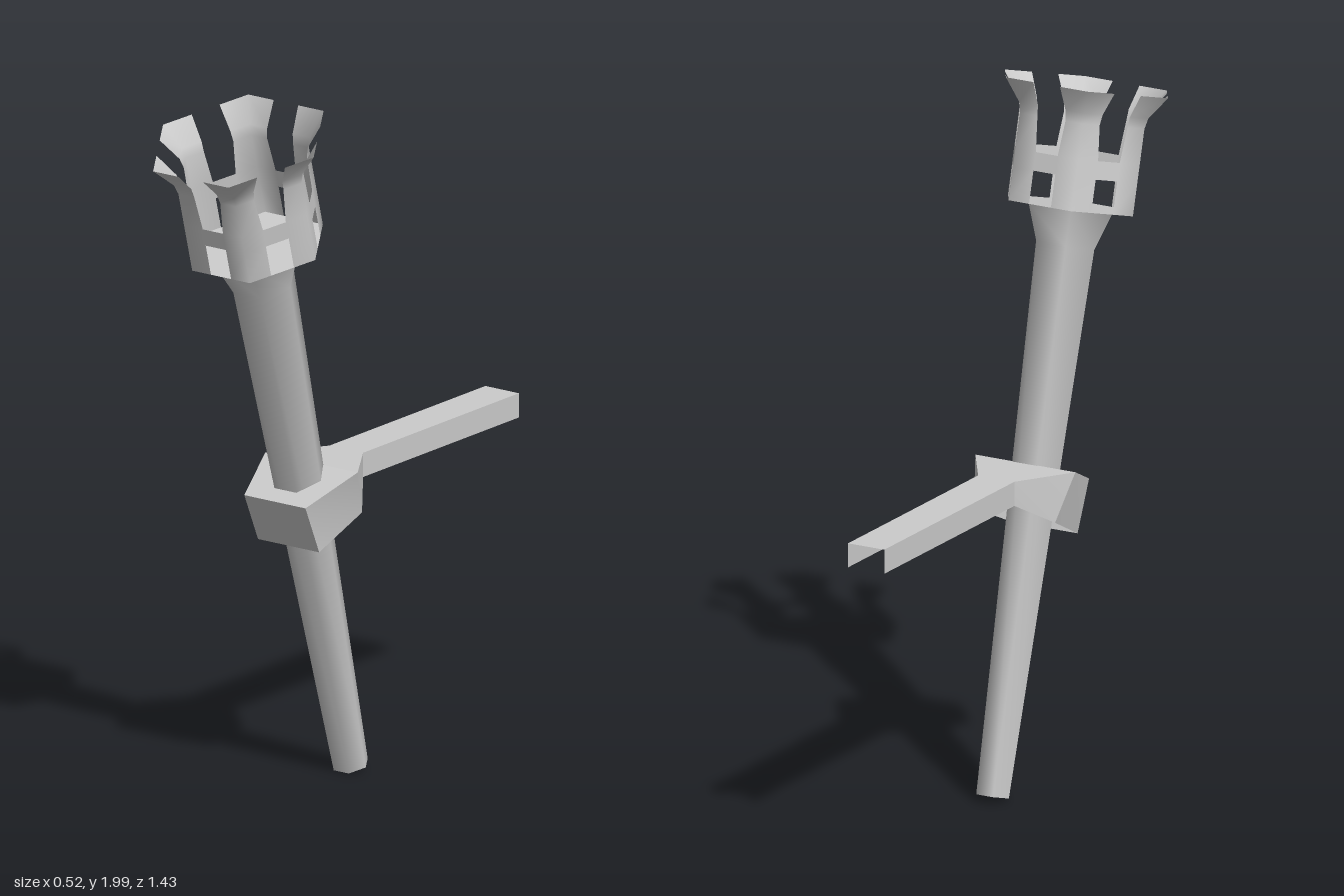
import * as THREE from 'three';
import { toCreasedNormals, mergeGeometries } from 'three/addons/utils/BufferGeometryUtils.js';

const material = new THREE.MeshStandardMaterial({ color: 0xcccccc, side: THREE.DoubleSide });

// Skin a sheet over rows of points, all rows equally long
function sheet(rows) {
  const n = rows[0].length;
  const index = [];
  for (let i = 0; i < rows.length - 1; i++) {
    for (let j = 0; j < n - 1; j++) {
      const a = i * n + j, b = a + 1, c = a + n, d = c + 1;
      index.push(a, b, d, a, d, c);
    }
  }
  const geometry = new THREE.BufferGeometry();
  geometry.setAttribute('position', new THREE.Float32BufferAttribute(rows.flat(2), 3));
  geometry.setIndex(index);
  return geometry;
}

function addMesh(parent, name, geometry, crease) {
  const mesh = new THREE.Mesh(toCreasedNormals(geometry, crease), material);
  mesh.name = name;
  parent.add(mesh);
  return mesh;
}

// Point on the cup wall: distance "along" the face from corner k, towards side -1 or +1
function wallPoint(k, radius, height, along, side) {
  const a = (k * Math.PI) / 3;
  const b = a + (side * 2 * Math.PI) / 3;
  return [
    radius * Math.cos(a) + along * Math.cos(b),
    height,
    -radius * Math.sin(a) - along * Math.sin(b),
  ];
}

function createTorch() {
  const torch = new THREE.Group();
  torch.name = 'torch';

  // Tapered six-sided handle, flaring under the cup
  const profile = [[0, 0], [0.052, 0], [0.093, 1.542], [0.136, 1.652]]
    .map(([r, y]) => new THREE.Vector2(r, y));
  addMesh(torch, 'handle', new THREE.LatheGeometry(profile, 6, Math.PI / 6), 1.1);

  const cup = new THREE.Group();
  cup.name = 'cup';
  cup.position.y = 1.652;
  torch.add(cup);

  const floor = new THREE.CircleGeometry(0.2, 6).rotateX(-Math.PI / 2);
  addMesh(cup, 'cupFloor', floor, 0.5);

  // Prongs folded around each corner: height, corner radius, half width
  const prong = [
    [0, 0.2, 0.065], [0.093, 0.2, 0.065], [0.145, 0.2, 0.065],
    [0.245, 0.2, 0.055], [0.275, 0.208, 0.06], [0.34, 0.261, 0.088],
  ];
  for (let k = 0; k < 6; k++) {
    const rows = prong.map(([h, r, w]) => [
      wallPoint(k, r, h, w, -1), wallPoint(k, r, h, 0, 1), wallPoint(k, r, h, w, 1),
    ]);
    addMesh(cup, 'prong', sheet(rows), 1.1);

    // Band joining this prong to the next
    const band = [0.093, 0.145].map((h) => [
      wallPoint(k, 0.2, h, 0.065, 1), wallPoint(k + 1, 0.2, h, 0.065, -1),
    ]);
    addMesh(cup, 'band', sheet(band), 0.5);
  }

  torch.position.set(0, 0.02, -0.02);
  torch.rotation.x = THREE.MathUtils.degToRad(15);
  return torch;
}

function createBracket() {
  // Open channel from the wall end to the collar:
  // top half width, top y, top z, bottom half width, bottom y, bottom z
  const stations = [
    [0.058, 0.935, -0.715, 0.058, 0.865, -0.715],
    [0.058, 0.935, 0, 0.058, 0.865, 0],
    [0.16, 0.935, 0.16, 0.13, 0.8, 0.1],
    [0.106, 0.862, 0.328, 0.106, 0.72, 0.265],
  ];
  const rows = stations.map(([tw, ty, tz, bw, by, bz]) => [
    [bw, by, bz], [tw, ty, tz], [-tw, ty, tz], [-bw, by, bz],
  ]);
  // Plate closing the front of the collar
  const [b0, t0, t1, b1] = rows[rows.length - 1];
  return mergeGeometries([sheet(rows), sheet([[t0, t1], [b0, b1]])]);
}

export function createModel() {
  const model = new THREE.Group();
  model.name = 'wallTorch';
  model.add(createTorch());
  addMesh(model, 'wallBracket', createBracket(), 0.3);
  return model;
}
